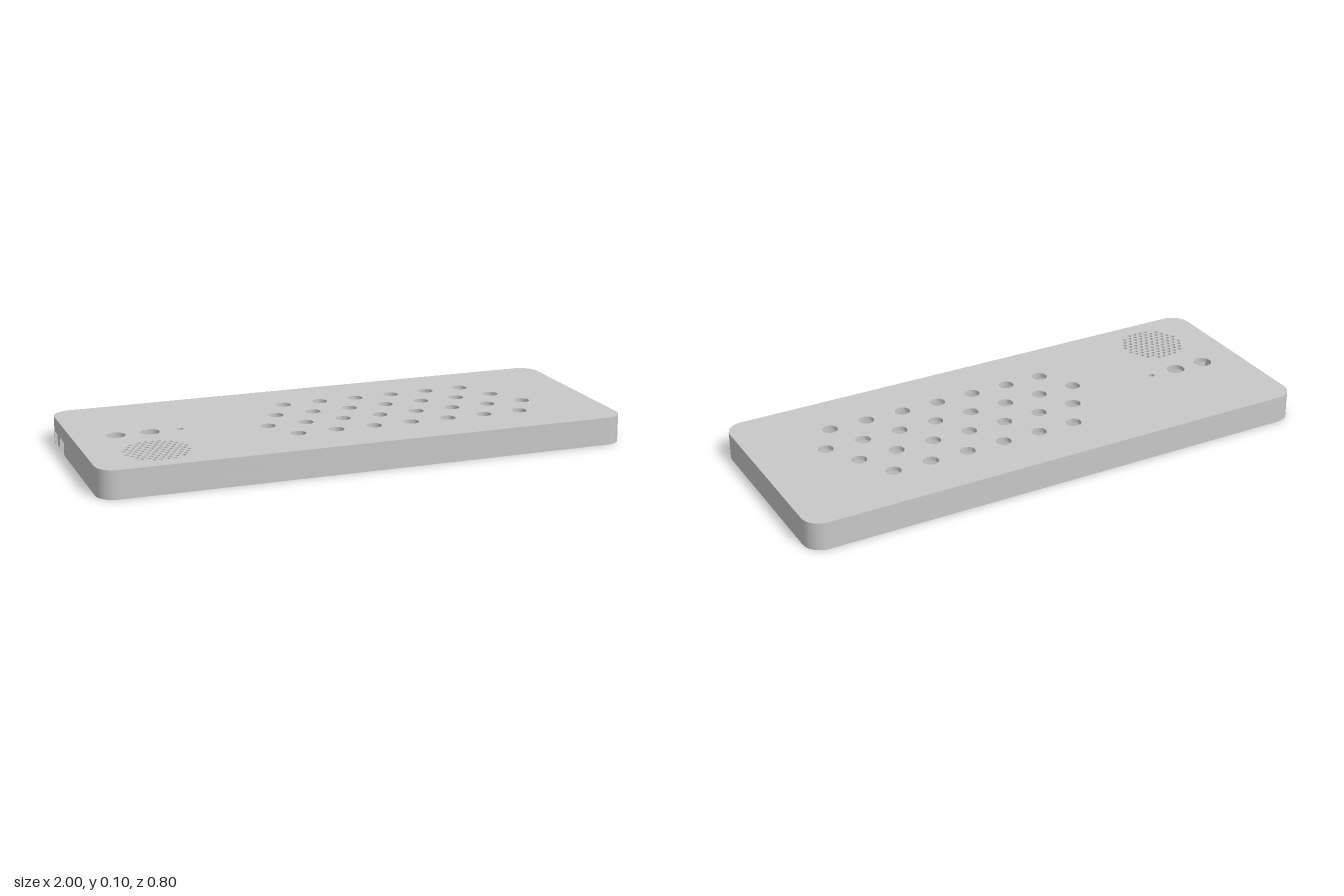
import * as THREE from 'three';
import { toCreasedNormals } from 'three/addons/utils/BufferGeometryUtils.js';

const H = 0.105, PLATE_Y = 0.088, CORNER = 0.07, WALL = 0.018;

// rounded outline in x and z, inset by t, starting and ending on the -x side
function outline(t) {
  const hx = 1 - t, hz = 0.4 - t, r = CORNER - t, pts = [];
  [[-1, 1], [1, 1], [1, -1], [-1, -1]].forEach(([sx, sz], k) => {
    for (let i = 0; i <= 10; i++) {
      const a = Math.PI - (k + i / 10) * Math.PI / 2;
      pts.push(new THREE.Vector2(sx * (hx - r) + r * Math.cos(a), sz * (hz - r) + r * Math.sin(a)));
    }
  });
  return pts;
}

// upright prism whose shape lies in x and z
function slab(shape, y0, y1, curveSegments = 24) {
  const g = new THREE.ExtrudeGeometry(shape, { depth: y1 - y0, bevelEnabled: false, curveSegments });
  g.rotateX(Math.PI / 2).translate(0, y1, 0);
  return toCreasedNormals(g, 0.7);
}

function circle(x, z, r) {
  return new THREE.Path().absarc(x, z, r, 0, Math.PI * 2, true);
}

export function createModel() {
  const group = new THREE.Group();
  const grey = new THREE.MeshStandardMaterial({ color: 0xc8c8c8 });
  grey.name = 'grey plastic';
  const add = (name, geometry) => {
    const mesh = new THREE.Mesh(geometry, grey);
    mesh.name = name;
    group.add(mesh);
  };

  // staggered rows of key holes
  const keys = [];
  [[-0.194, 6], [-0.065, 7], [0.063, 8], [0.192, 7]].forEach(([z, n]) => {
    for (let i = 0; i < n; i++) keys.push([0.223 + (i - (n - 1) / 2) * 0.147, z]);
  });

  // top plate with key, control and speaker holes
  const plate = new THREE.Shape(outline(0).reverse());
  keys.forEach(([x, z]) => plate.holes.push(circle(x, z, 0.0285)));
  [[-0.842, 0.035], [-0.716, 0.035], [-0.604, 0.012]].forEach(([x, r]) => plate.holes.push(circle(x, -0.01, r)));
  const speaker = { x: -0.753, z: 0.22 };
  for (let row = -5; row <= 5; row++) {
    for (let col = -6; col <= 6; col++) {
      const dx = (col + (row % 2 ? 0.5 : 0)) * 0.025, dz = row * 0.0217;
      if (Math.hypot(dx, dz) < 0.118) plate.holes.push(circle(speaker.x + dx, speaker.z + dz, 0.008));
    }
  }
  add('topPlate', slab(plate, PLATE_Y, H, 10));

  // side walls: closed ring above, open ring below leaving the port notches
  const ring = new THREE.Shape(outline(0).reverse());
  ring.holes.push(new THREE.Path(outline(WALL)));
  add('upperWall', slab(ring, 0.05, PLATE_Y));
  const openRing = new THREE.Shape([
    new THREE.Vector2(-1, -0.17), ...outline(0),
    ...outline(WALL).reverse(), new THREE.Vector2(-1 + WALL, -0.17),
  ]);
  add('lowerWall', slab(openRing, 0, 0.05));
  add('notchDivider', new THREE.BoxGeometry(WALL, 0.04, 0.04).translate(-1 + WALL / 2, 0.03, -0.26));

  // scalloped wall: the outer arcs of a circle around every key
  const R = 0.109, T = 0.011, N = 360;
  keys.forEach(([x, z]) => {
    const free = i => {
      const a = i / N * Math.PI * 2, px = x + R * Math.cos(a), pz = z + R * Math.sin(a);
      return keys.every(([kx, kz]) => (kx === x && kz === z) || Math.hypot(px - kx, pz - kz) > R - 0.001);
    };
    for (let i = 0; i < N; i++) {
      if (!free(i) || free(i - 1)) continue;
      let end = i;
      while (free(end + 1)) end++;
      if (end - i < 3) continue;
      const a0 = i / N * Math.PI * 2, a1 = end / N * Math.PI * 2;
      const arc = new THREE.Shape();
      arc.absarc(x, z, R, a0, a1, false);
      arc.absarc(x, z, R - T, a1, a0, true);
      add('keyWellWall', slab(arc, 0.018, PLATE_Y, 16));
    }
  });

  // speaker seat
  const seat = new THREE.Shape().absarc(speaker.x, speaker.z, 0.158, 0, Math.PI * 2, false);
  seat.holes.push(circle(speaker.x, speaker.z, 0.147));
  add('speakerRing', slab(seat, 0.07, PLATE_Y, 40));

  // mounting posts
  [[-0.385, 0.315], [-0.345, -0.325], [-0.56, 0.1], [-0.955, 0.095], [0.82, 0.06]].forEach(([x, z]) => {
    add('mountingPost', new THREE.CylinderGeometry(0.018, 0.018, PLATE_Y, 20).translate(x, PLATE_Y / 2, z));
  });
  return group;
}
